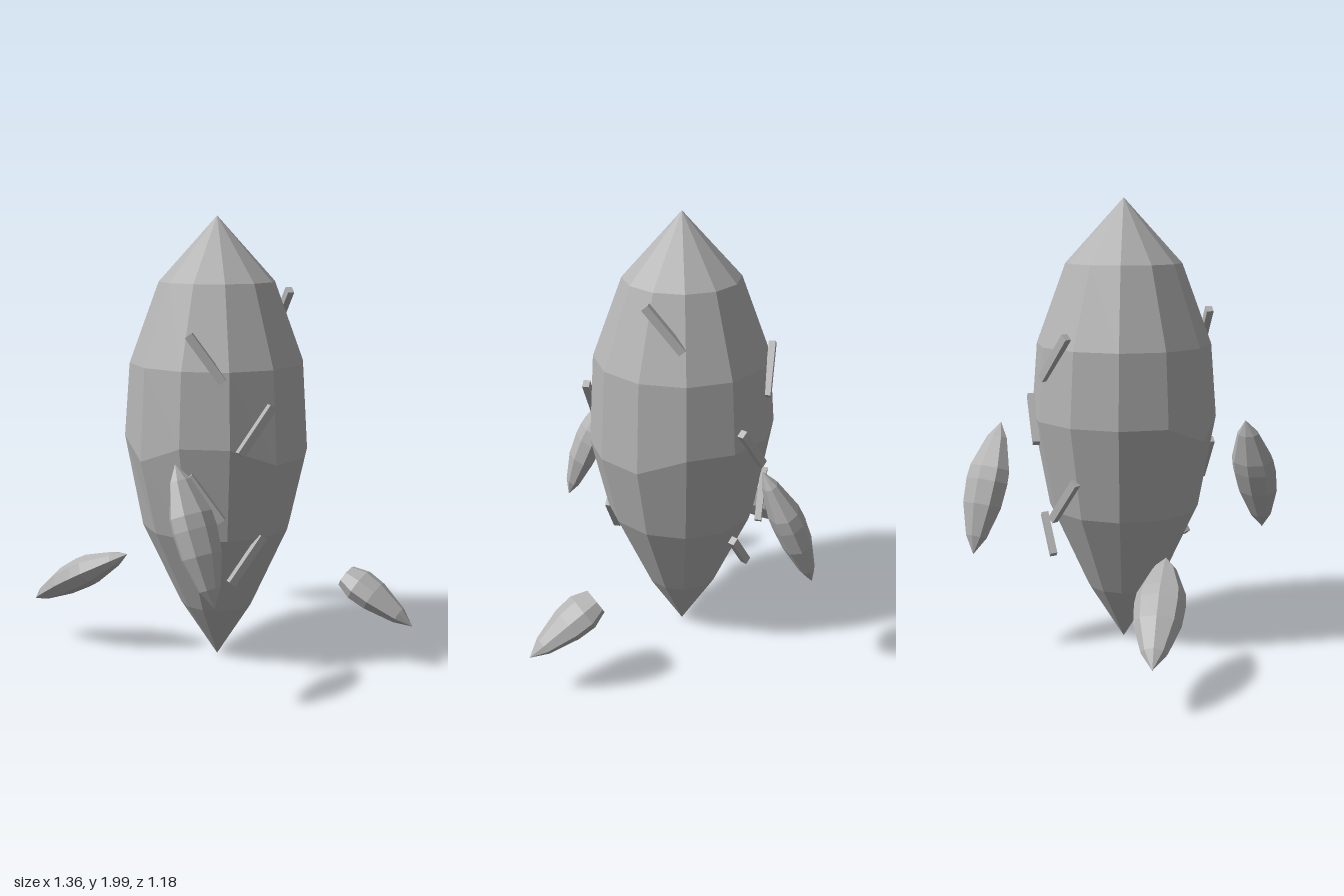
import * as THREE from 'three';

const V = (x, y, z) => new THREE.Vector3(x, y, z);

export function createModel() {
  const model = new THREE.Group();
  const grey = new THREE.MeshStandardMaterial({ color: 0xb4b4b4, flatShading: true });
  grey.name = 'grey';

  const add = (geometry, name) => {
    const mesh = new THREE.Mesh(geometry, grey);
    mesh.name = name;
    model.add(mesh);
    return mesh;
  };
  const lathe = (profile, sides) =>
    new THREE.LatheGeometry(profile.map(([r, y]) => new THREE.Vector2(r, y)), sides);

  // Lay a mesh's y axis along "axis", with its z axis facing "outward"
  const orient = (mesh, axis, outward) => {
    const y = axis.clone().normalize();
    const x = y.clone().cross(outward).normalize();
    mesh.quaternion.setFromRotationMatrix(new THREE.Matrix4().makeBasis(x, y, x.clone().cross(y)));
  };

  // Twelve-sided hull; part of its widest ring sits slightly lower
  const profile = [[0, 0.01], [0.165, 0.27], [0.335, 0.64], [0.41, 1.05], [0.385, 1.37], [0.255, 1.72], [0, 2]];
  const hull = lathe(profile, 12);
  for (const segment of [0, 3, 4, 5, 12]) {
    hull.attributes.position.setY(segment * profile.length + 3, 0.97);
  }
  hull.computeVertexNormals();
  add(hull, 'hull');

  // Four spindle fins: flattened, gently bowed outward
  const spindle = [[0, 0], [0.48, 0.12], [0.96, 0.36], [1, 0.46], [0.92, 0.64], [0.5, 0.87], [0, 1]];
  const blunt = [[0, 0.38], [0.68, 0.38], [0.98, 0.5], [0.92, 0.64], [0.5, 0.87], [0, 1]];
  const addFin = (name, shape, top, tip) => {
    const axis = tip.clone().sub(top);
    const length = axis.length();
    const geometry = lathe(shape.map(([r, t]) => [r, t * length]), 8);
    geometry.scale(0.106, 1, 0.072);
    const p = geometry.attributes.position;
    for (let i = 0; i < p.count; i++) {
      p.setZ(i, p.getZ(i) + 0.012 * Math.sin(Math.PI * p.getY(i) / length));
    }
    geometry.computeVertexNormals();
    const fin = add(geometry, name);
    fin.position.copy(top);
    orient(fin, axis, V(0, 1, 0));
  };
  addFin('frontLeftFin', spindle, V(0.31, 1.02, 0.45), V(0.545, 0.47, 0.43));
  addFin('backRightFin', spindle, V(-0.31, 1.02, -0.45), V(-0.545, 0.47, -0.43));
  addFin('frontRightFin', spindle, V(-0.21, 0.5, 0.35), V(-0.68, 0.21, 0.57));
  addFin('backLeftFin', blunt, V(0.21, 0.5, -0.35), V(0.68, 0.21, -0.57));

  // Slanted slats around the hull, from upper end to lower end
  const slats = [
    [V(0.215, 1.52, 0.31), V(0.315, 1.33, 0.21)],
    [V(0.42, 1.225, 0.035), V(0.39, 1.035, 0.18)],
    [V(0.225, 0.935, 0.32), V(0.32, 0.745, 0.22)],
    [V(0.335, 0.645, 0.01), V(0.3, 0.455, 0.155)],
    [V(0.16, 1.68, -0.28), V(0.01, 1.5, -0.325)],
    [V(-0.39, 1.43, -0.03), V(-0.355, 1.24, -0.18)],
    [V(-0.235, 1.14, -0.34), V(-0.335, 0.95, -0.235)],
    [V(-0.375, 0.81, 0), V(-0.335, 0.62, -0.15)],
    [V(-0.21, 0.6, -0.29), V(-0.28, 0.44, -0.19)],
  ];
  slats.forEach(([upper, lower], i) => {
    const axis = upper.clone().sub(lower);
    const slat = add(new THREE.BoxGeometry(0.035, axis.length(), 0.03), 'slat' + (i + 1));
    slat.position.copy(upper).add(lower).multiplyScalar(0.5);
    orient(slat, axis, V(slat.position.x, 0, slat.position.z));
  });

  return model;
}
